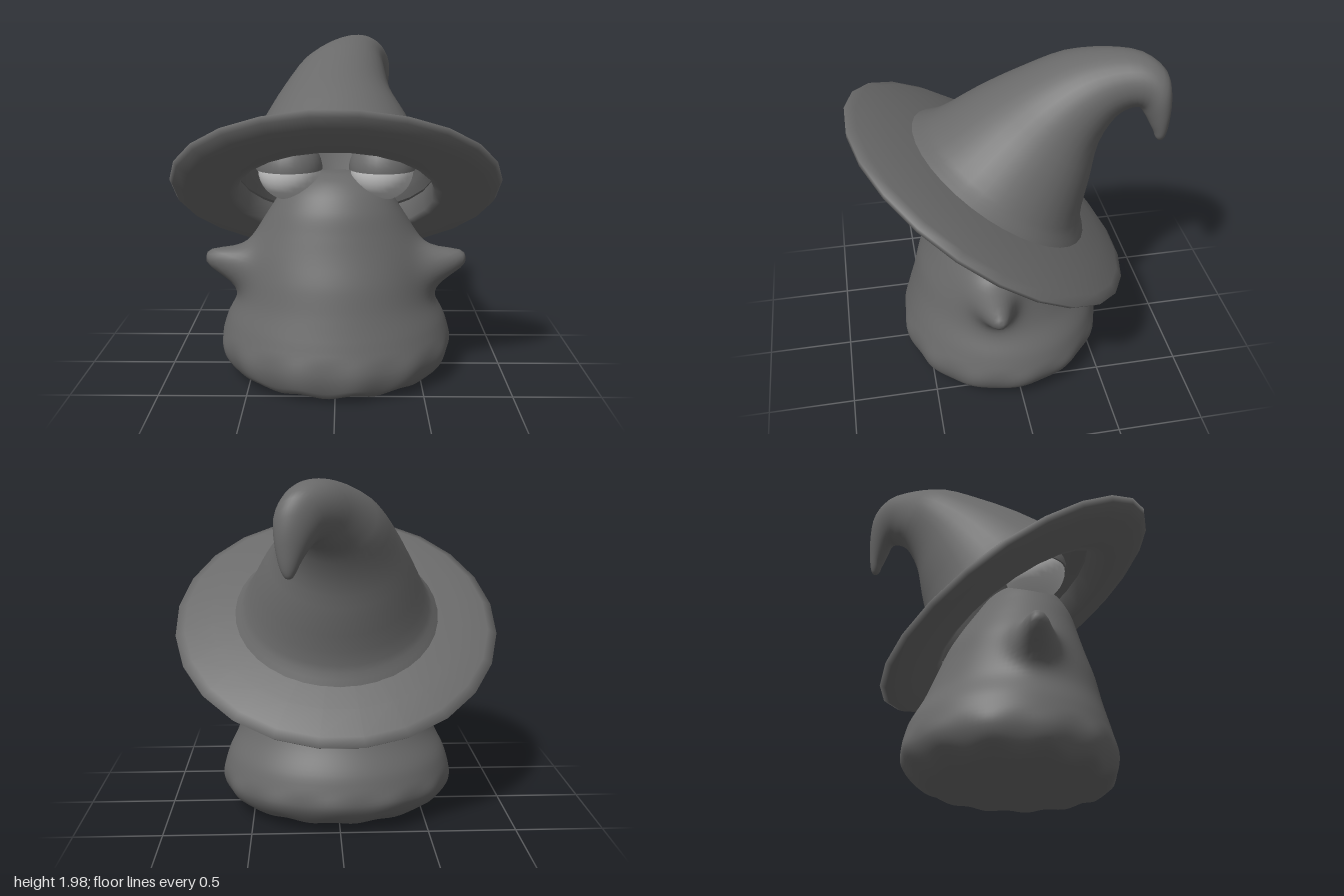
import * as THREE from 'three';

const dark = new THREE.MeshStandardMaterial({ color: 0x6a6a6a });
const darkThin = new THREE.MeshStandardMaterial({ color: 0x6a6a6a, side: THREE.DoubleSide });
const eyeWhite = new THREE.MeshStandardMaterial({ color: 0xf4f4f4 });

// Skin a smooth surface over closed rings; ringPoint(t, angle) gives a Vector3
function loft(rows, cols, ringPoint) {
  const pos = [], index = [];
  for (let i = 0; i <= rows; i++) {
    for (let j = 0; j < cols; j++) {
      pos.push(...ringPoint(i / rows, (j / cols) * Math.PI * 2).toArray());
      if (i === rows) continue;
      const k = (j + 1) % cols, a = i * cols;
      index.push(a + j, a + cols + j, a + k, a + k, a + cols + j, a + cols + k);
    }
  }
  const g = new THREE.BufferGeometry();
  g.setAttribute('position', new THREE.Float32BufferAttribute(pos, 3));
  g.setIndex(index);
  g.computeVertexNormals();
  return g;
}

const curve = (pts) => new THREE.CatmullRomCurve3(pts.map((p) => new THREE.Vector3(...p)), false, 'centripetal');

function add(parent, name, geometry, material = dark) {
  const m = new THREE.Mesh(geometry, material);
  m.name = name;
  parent.add(m);
  return m;
}

// Body with a scalloped hem; the stub arms are pulled out of its sides
function bodyGeometry() {
  const rows = [ // y, half width, front z, back z
    [0.06, 0.002, 0.032, 0.028], [0.045, 0.28, 0.3, -0.25], [0.035, 0.48, 0.5, -0.42],
    [0.09, 0.63, 0.61, -0.53], [0.2, 0.685, 0.635, -0.58], [0.35, 0.655, 0.6, -0.55],
    [0.5, 0.575, 0.56, -0.47], [0.65, 0.53, 0.525, -0.405], [0.8, 0.495, 0.475, -0.34],
    [0.92, 0.44, 0.44, -0.27], [1.04, 0.37, 0.405, -0.19], [1.14, 0.3, 0.35, -0.12],
    [1.21, 0.2, 0.28, -0.04], [1.24, 0.1, 0.2, 0.04], [1.245, 0.003, 0.122, 0.118],
  ];
  const side = curve(rows.map((r) => [r[1], r[0], 0]));
  const depth = curve(rows.map((r) => [r[2], r[3], 0]));
  return loft((rows.length - 1) * 6, 112, (t, a) => {
    const { x: w, y } = side.getPoint(t), { x: front, y: back } = depth.getPoint(t);
    const s = Math.sin(a), c = Math.cos(a);
    const hem = Math.max(0, 1 - Math.abs(y - 0.07) / 0.2) * Math.min(1, (w / 0.6) ** 3);
    const ripple = Math.cos(a * 13 + 0.5), k = 1 + 0.025 * hem * ripple;
    const z = (front + back) / 2 + s * k * (front - back) / 2;
    const arm = 1 / (1 + (Math.hypot(y - 0.68, z - 0.155) / 0.09) ** 3.5);
    return new THREE.Vector3(
      c * w * k + Math.sign(c) * 0.245 * arm * Math.min(1, Math.abs(c) * 2),
      y + hem * (0.014 * ripple - 0.02 * s) + 0.065 * arm, z);
  });
}

// Hat crown: each ring spans a front point and a back point, bending into a hook
function crownGeometry() {
  const rows = [ // front z, front y, back z, back y, centre x, half width
    [0.51, 1.545, -0.47, 0.865, 0, 0.6], [0.4, 1.57, -0.45, 0.98, 0, 0.54],
    [0.14, 1.72, -0.5, 1.24, 0, 0.43], [-0.1, 1.835, -0.54, 1.44, 0, 0.335],
    [-0.34, 1.945, -0.62, 1.61, 0.035, 0.265], [-0.56, 1.995, -0.68, 1.67, 0.095, 0.2],
    [-0.74, 1.99, -0.72, 1.69, 0.16, 0.16], [-0.84, 1.92, -0.745, 1.66, 0.22, 0.125],
    [-0.87, 1.79, -0.77, 1.61, 0.25, 0.09], [-0.868, 1.66, -0.79, 1.57, 0.265, 0.06],
    [-0.86, 1.57, -0.8, 1.54, 0.27, 0.038], [-0.847, 1.528, -0.816, 1.52, 0.27, 0.018],
    [-0.833, 1.518, -0.829, 1.518, 0.27, 0.002],
  ];
  const front = curve(rows.map((r) => [0, r[1], r[0]]));
  const back = curve(rows.map((r) => [0, r[3], r[2]]));
  const width = curve(rows.map((r) => [r[4], r[5], 0]));
  return loft((rows.length - 1) * 3, 36, (t, a) => {
    const p = back.getPoint(t).lerp(front.getPoint(t), 0.5 + Math.sin(a) / 2);
    const w = width.getPoint(t);
    p.x = w.x + Math.cos(a) * w.y;
    return p;
  });
}

export function createModel() {
  const model = new THREE.Group();
  model.name = 'hattedCreature';

  add(model, 'bodyWithArms', bodyGeometry());

  // Eyes with drooping half-dome eyelids, mirrored
  const eye = new THREE.SphereGeometry(0.18, 28, 18);
  const dome = new THREE.SphereGeometry(0.19, 28, 10, 0, Math.PI * 2, 0, Math.PI / 2);
  const lidBase = new THREE.CircleGeometry(0.19, 28).rotateX(Math.PI / 2);
  for (const [side, s] of [['left', 1], ['right', -1]]) {
    const group = new THREE.Group();
    group.name = side + 'EyeGroup';
    group.position.set(0.265 * s, 1.265, 0.165);
    add(group, side + 'Eye', eye, eyeWhite);
    add(group, side + 'Eyelid', dome);
    add(group, side + 'EyelidEdge', lidBase);
    model.add(group);
  }

  // Hat: wide tilted brim, open underneath, and the hooked crown
  const hat = new THREE.Group();
  hat.name = 'hat';
  const profile = [[0.58, 0.1], [0.75, 0.075], [0.905, 0.032], [0.96, 0.006], [0.94, -0.025],
    [0.875, -0.055], [0.76, -0.058], [0.62, -0.055], [0.575, -0.04], [0.57, 0.08]];
  const brim = add(hat, 'brim',
    new THREE.LatheGeometry(profile.map((p) => new THREE.Vector2(...p)), 24, Math.PI / 24), darkThin);
  brim.position.set(0, 1.13, 0.085);
  brim.rotation.x = -0.6;
  add(hat, 'crown', crownGeometry(), darkThin);
  model.add(hat);

  return model;
}
